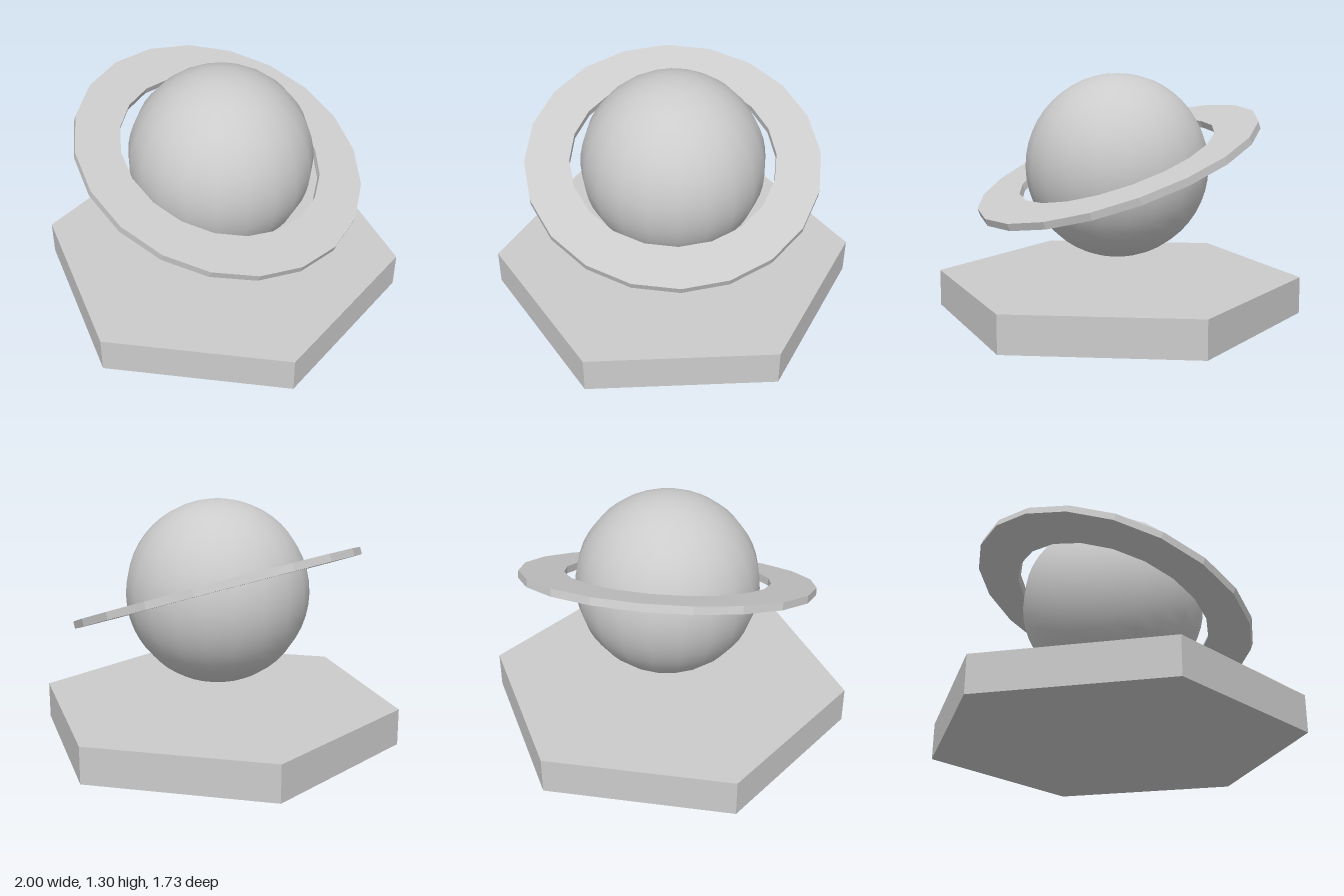
import * as THREE from 'three';

export function createModel() {
  const group = new THREE.Group();
  const smooth = new THREE.MeshStandardMaterial({ color: 0xcccccc });
  const flat = new THREE.MeshStandardMaterial({ color: 0xcccccc, flatShading: true });

  const add = (name, geometry, material, y) => {
    const mesh = new THREE.Mesh(geometry, material);
    mesh.name = name;
    mesh.position.y = y;
    group.add(mesh);
    return mesh;
  };

  // Hexagonal plinth with corners on the x axis
  add('base', new THREE.CylinderGeometry(1, 1, 0.2, 6).rotateY(Math.PI / 2), flat, 0.1);

  // Smooth planet floating above the plinth
  add('planet', new THREE.SphereGeometry(0.498, 20, 24), smooth, 0.806);

  // Flat 20-sided ring, tipped down at the front
  const inner = 0.556, outer = 0.796, half = 0.02;
  const profile = [
    [inner, -half], [outer, -half], [outer, half], [inner, half], [inner, -half],
  ].map(([r, y]) => new THREE.Vector2(r, y));
  const ring = add('ring', new THREE.LatheGeometry(profile, 20), flat, 0.82);
  ring.rotation.x = THREE.MathUtils.degToRad(20);

  return group;
}
